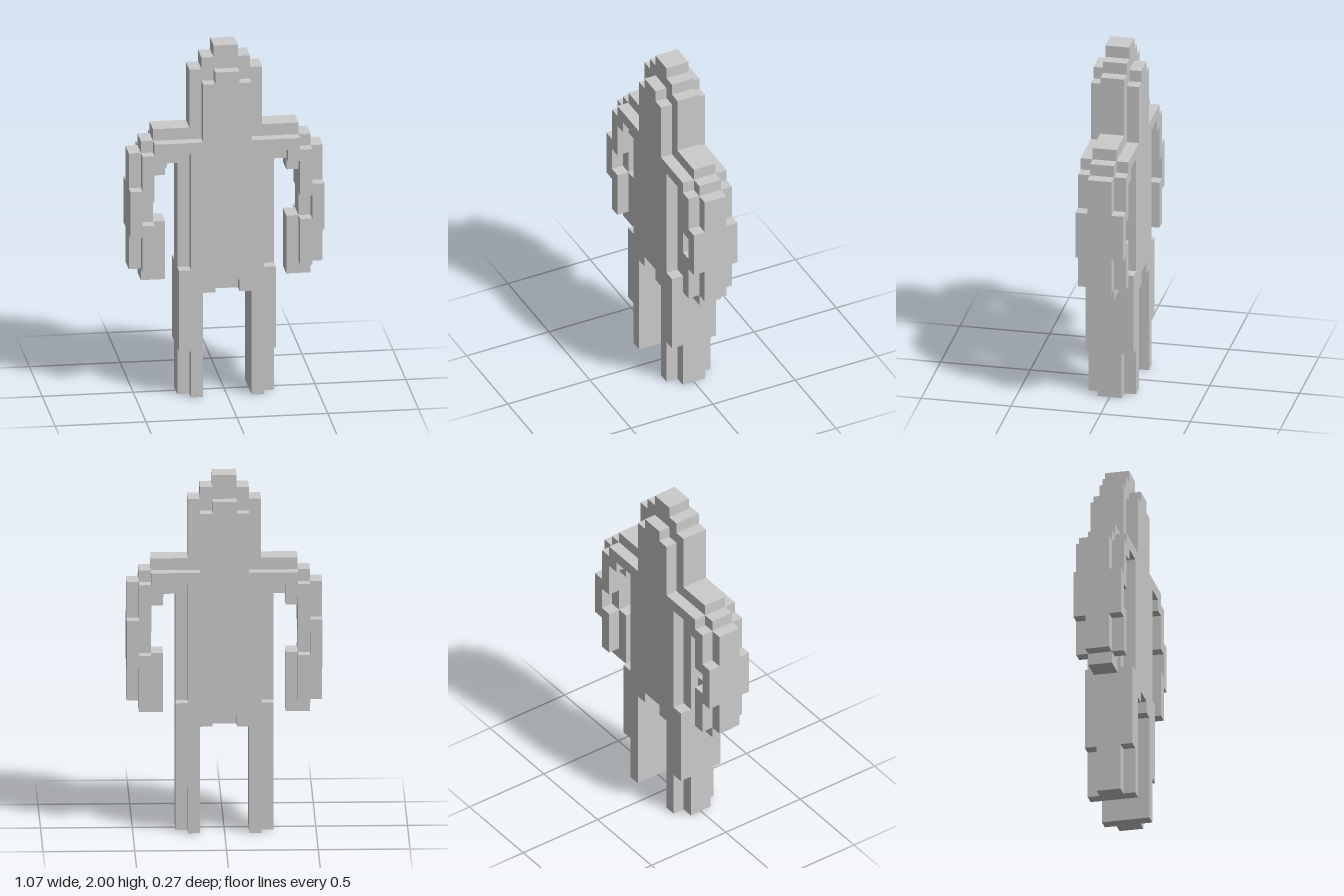
import * as THREE from 'three';

const U = 1 / 15; // one block of the grid
const material = new THREE.MeshStandardMaterial({ color: 0xcccccc, flatShading: true });

// Extrudes a stepped outline (in blocks) from depth z0 to z1; side = -1 mirrors it.
function slab(name, points, z0, z1, side = 1) {
  const shape = new THREE.Shape(points.map(([x, y]) => new THREE.Vector2(side * x * U, y * U)));
  const geometry = new THREE.ExtrudeGeometry(shape, { depth: (z1 - z0) * U, bevelEnabled: false });
  geometry.translate(0, 0, z0 * U);
  const mesh = new THREE.Mesh(geometry, material);
  mesh.name = name;
  return mesh;
}

// A part is a thick core with a smaller plate on its front and back.
function part(name, { core, plate }, side = 1) {
  const group = new THREE.Group();
  group.name = name;
  group.add(
    slab(name + 'Core', core, -1, 1, side),
    slab(name + 'FrontPlate', plate, 1, 2, side),
    slab(name + 'BackPlate', plate, -2, -1, side),
  );
  return group;
}

// Completes a right-hand half outline with its mirror image.
const symmetric = (half) => [...half, ...half.map(([x, y]) => [-x, y]).reverse()];

const head = {
  core: symmetric([[3, 23], [3, 28], [2, 28], [2, 29], [1, 29], [1, 30]]),
  plate: symmetric([[2, 22], [2, 27], [1, 27], [1, 28]]),
};

const torso = {
  core: symmetric([[4, 9], [4, 23]]),
  // notched between the legs, narrowed above the hips
  plate: symmetric([[1, 10], [1, 9], [4, 9], [4, 11], [3, 11], [3, 22]]),
};

const arm = {
  core: [
    [4, 20], [5, 20], [5, 19], [6, 19], [6, 15], [5, 15], [5, 10], [7, 10],
    [7, 11], [8, 11], [8, 21], [7, 21], [7, 22], [6, 22], [6, 23], [4, 23],
  ],
  plate: [
    [3, 21], [5, 21], [5, 20], [6, 20], [6, 17], [7, 17], [7, 15], [6, 15], [6, 11],
    [7, 11], [7, 14], [8, 14], [8, 18], [7, 18], [7, 21], [6, 21], [6, 22], [3, 22],
  ],
};

const leg = {
  core: [[2, 0], [4, 0], [4, 9], [2, 9]],
  plate: [[2, 0], [3, 0], [3, 4], [4, 4], [4, 9], [2, 9]],
};

export function createModel() {
  const model = new THREE.Group();
  model.name = 'blockFigure';
  model.add(part('head', head), part('torso', torso));
  for (const [label, side] of [['left', 1], ['right', -1]]) {
    model.add(part(label + 'Arm', arm, side), part(label + 'Leg', leg, side));
  }
  return model;
}
